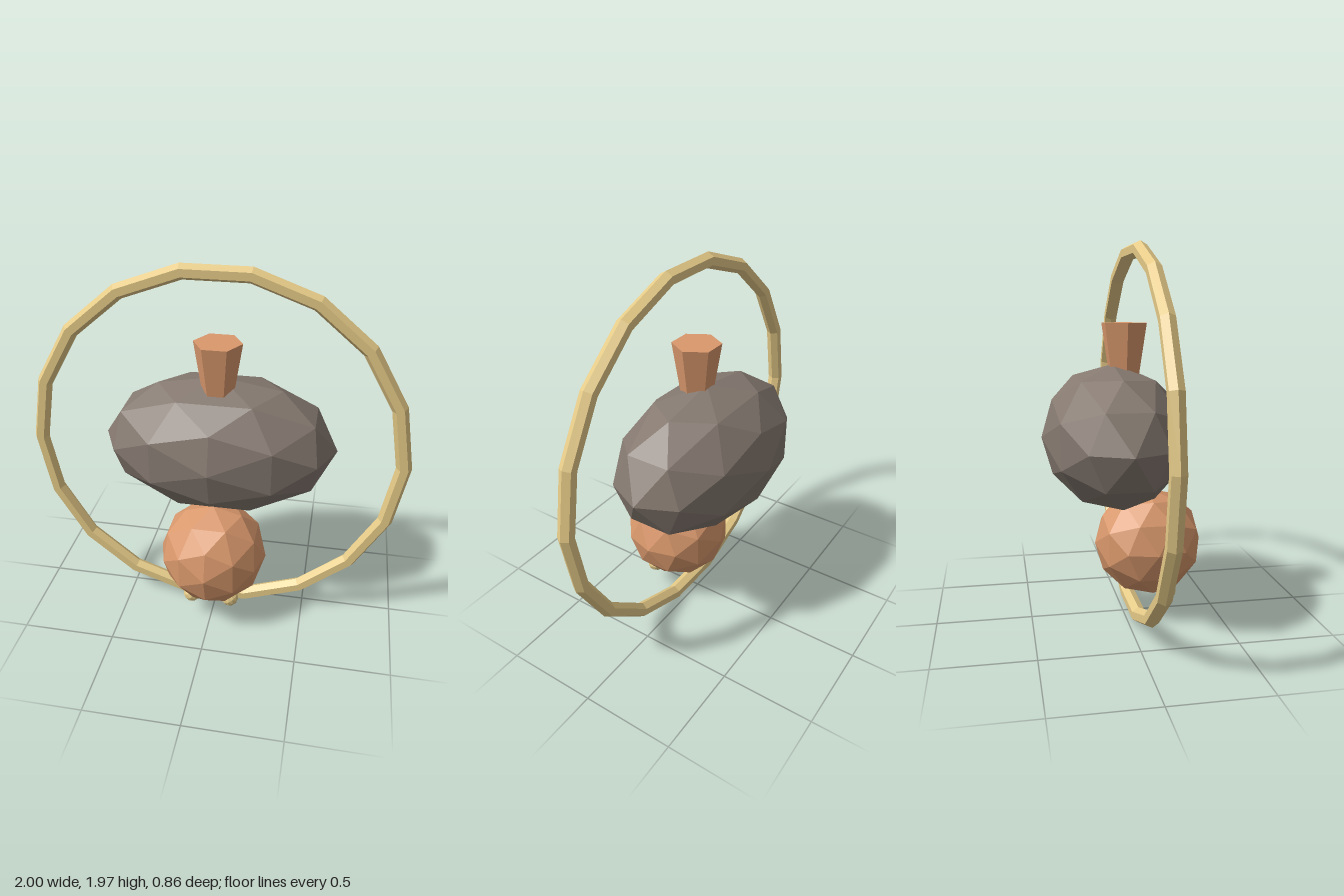
import * as THREE from 'three';

export function createModel() {
  const group = new THREE.Group();
  const paint = (color) => new THREE.MeshStandardMaterial({ color, flatShading: true });
  const grey = paint(0x857970);
  const copper = paint(0xd9986c);
  const gold = paint(0xe6cb88);

  const add = (name, geometry, material, x, y, z) => {
    const mesh = new THREE.Mesh(geometry, material);
    mesh.name = name;
    mesh.position.set(x, y, z);
    group.add(mesh);
    return mesh;
  };
  const facetedBall = (radius) => new THREE.IcosahedronGeometry(radius, 1);

  // Hexagonal-section hoop of eighteen straight segments
  add('ring', new THREE.TorusGeometry(0.96, 0.04, 6, 18), gold, 0, 0.985, 0.055);

  // Wide faceted body
  add('body', facetedBall(0.375).scale(1.667, 1, 1), grey, 0, 0.985, -0.055);

  // Head hanging below the body, slightly forward
  add('head', facetedBall(0.29), copper, 0, 0.398, 0.137);

  // Pair of small beads under the head
  for (const side of [-1, 1]) {
    add(side > 0 ? 'leftBead' : 'rightBead', facetedBall(0.048), gold, side * 0.107, 0.143, 0.224);
  }

  // Flared six-sided stub on top, corners pointing sideways
  const stub = new THREE.CylinderGeometry(0.125, 0.08, 0.29, 6).rotateY(Math.PI / 6);
  add('topStub', stub, copper, 0, 1.427, 0.005);

  return group;
}
